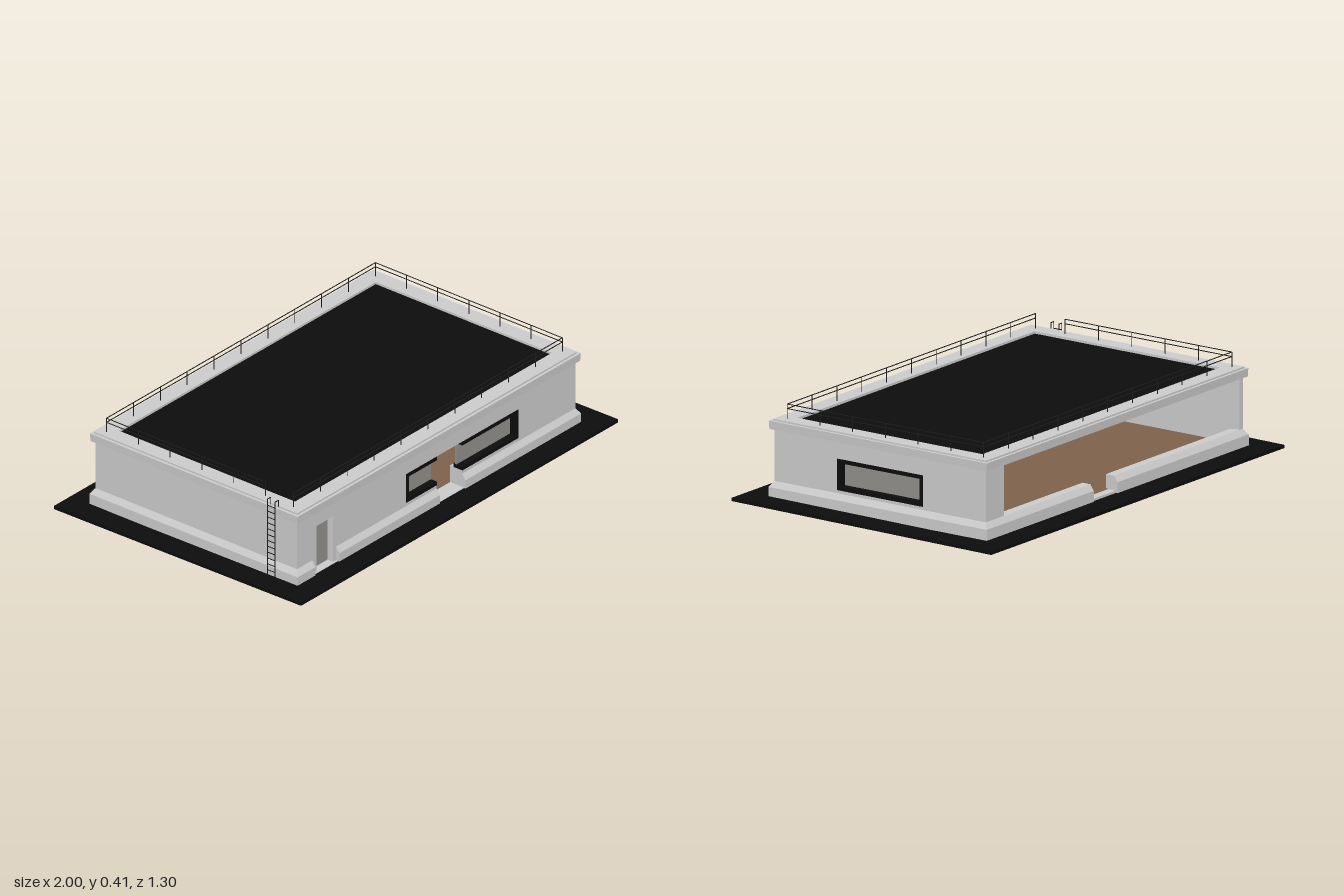
import * as THREE from 'three';

const mat = (name, color) => {
  const m = new THREE.MeshStandardMaterial({ color });
  m.name = name;
  return m;
};

export function createModel() {
  const concrete = mat('pale concrete', 0xcacaca);
  const black = mat('black', 0x0c0c0c);
  const glass = mat('grey glass', 0x908e8a);
  const wood = mat('brown floor', 0x7d604a);
  const metal = mat('dark metal', 0x1c1c1c);

  const model = new THREE.Group();
  const body = new THREE.Group();
  body.name = 'building';
  body.position.x = -0.004;
  model.add(body);

  const HX = 0.877, HZ = 0.53; // half size of the outer walls
  const FLOOR = 0.029, EAVE = 0.31;

  const add = (parent, name, geo, material) => {
    const m = new THREE.Mesh(geo, material);
    m.name = name;
    parent.add(m);
    return m;
  };
  // Box given by its limits
  const box = (parent, name, material, x0, x1, y0, y1, z0, z1) => {
    const m = add(parent, name, new THREE.BoxGeometry(x1 - x0, y1 - y0, z1 - z0), material);
    m.position.set((x0 + x1) / 2, (y0 + y1) / 2, (z0 + z1) / 2);
    return m;
  };
  const poly = (C, pts) => new C(pts.map(p => new THREE.Vector2(...p)));
  const rect = (C, x0, x1, y0, y1) => poly(C, [[x0, y0], [x1, y0], [x1, y1], [x0, y1]]);
  const extrude = (shape, depth) => new THREE.ExtrudeGeometry(shape, { depth, bevelEnabled: false });

  // Thin round bar between two points
  const bar = (parent, name, a, b, r = 0.002) => {
    const p = new THREE.Vector3(...a), q = new THREE.Vector3(...b);
    const d = q.clone().sub(p);
    const m = add(parent, name, new THREE.CylinderGeometry(r, r, d.length(), 6), metal);
    m.position.copy(p).add(q).multiplyScalar(0.5);
    m.quaternion.setFromUnitVectors(new THREE.Vector3(0, 1, 0), d.normalize());
  };

  // Moulding with section (outward, height) along one side, mitred at the corners
  const moulding = (name, section, side, a, b) => {
    const half = side % 2 ? HZ : HX, out = side % 2 ? HX : HZ;
    const geo = extrude(poly(THREE.Shape, section), 1);
    const p = geo.attributes.position;
    const end = (e, d) => e + (Math.abs(e) === half ? Math.sign(e) * d : 0);
    for (let i = 0; i < p.count; i++) {
      const d = p.getX(i), t = p.getZ(i);
      p.setXYZ(i, THREE.MathUtils.lerp(end(b, d), end(a, d), t), p.getY(i), out + d);
    }
    geo.computeVertexNormals();
    add(body, name, geo, concrete).rotation.y = side * Math.PI / 2;
  };

  // Slightly tilted ground slab, open under the building
  const slabShape = rect(THREE.Shape, -1, 1, -0.65, 0.65);
  slabShape.holes.push(rect(THREE.Path, -0.8, 0.8, -0.462, 0.462));
  const slab = add(model, 'groundSlab', extrude(slabShape, 0.014).translate(0, 0, -0.007), black);
  slab.rotation.x = -Math.PI / 2 - 0.0095;
  slab.position.y = 0.0145;

  // Floor base and wooden floor
  box(body, 'floorBase', concrete, -HX, HX, 0.019, FLOOR, -0.54, 0.54);
  box(body, 'woodFloor', wood, -0.853, 0.812, FLOOR, FLOOR + 0.002, -0.5, 0.466);

  // Front wall with two doorways and the window band
  const front = poly(THREE.Shape, [
    [-HX, FLOOR], [-0.756, FLOOR], [-0.756, 0.237], [-0.651, 0.237], [-0.651, FLOOR],
    [0.003, FLOOR], [0.003, 0.105], [-0.189, 0.105], [-0.189, 0.237], [0.517, 0.237],
    [0.517, 0.105], [0.164, 0.105], [0.164, FLOOR], [HX, FLOOR], [HX, EAVE], [-HX, EAVE],
  ]);
  add(body, 'frontWall', extrude(front, 0.065), concrete).position.z = HZ - 0.065;

  // Side walls and rear corner post; the rear is open
  const sideShape = rect(THREE.Shape, -HZ + 0.065, HZ, FLOOR, EAVE);
  sideShape.holes.push(rect(THREE.Path, -0.216, 0.216, 0.105, 0.235));
  const sideWall = add(body, 'leftWall', extrude(sideShape, 0.065), concrete);
  sideWall.rotation.y = Math.PI / 2;
  sideWall.position.x = HX - 0.065;
  box(body, 'rightWall', concrete, -HX, -HX + 0.024, FLOOR, EAVE, -HZ, HZ - 0.065);
  box(body, 'rearPost', concrete, 0.752, HX - 0.001, FLOOR, EAVE, -HZ, -0.46);

  // Plinth, cut at the doorways
  const plinth = inner => [[inner, 0.019], [0.017, 0.019], [0.017, 0.065], [0, 0.09], [inner, 0.09]];
  [[-HX, -0.781], [-0.631, 0.003], [0.164, HX]].forEach(([a, b]) => moulding('frontPlinth', plinth(-0.01), 0, a, b));
  [[-HX, -0.164], [-0.003, HX]].forEach(([a, b]) => moulding('rearPlinth', plinth(-0.04), 2, a, b));
  [1, 3].forEach(s => moulding('sidePlinth', plinth(-0.01), s, -HZ, HZ));

  // Cornice and parapet ring
  const cornice = [[-0.067, 0.308], [0.014, 0.308], [0.016, 0.343], [0.004, 0.343], [0.004, 0.35], [-0.067, 0.35]];
  for (let s = 0; s < 4; s++) {
    const h = s % 2 ? HZ : HX;
    moulding('cornice', cornice, s, -h, h);
  }

  // Ceiling and roof covering
  box(body, 'ceiling', concrete, -0.812, 0.812, 0.309, 0.334, -0.465, 0.465);
  box(body, 'roofCovering', black, -0.812, 0.812, 0.334, 0.34, -0.465, 0.465);

  // Window facing local +z: deep black frame and recessed pane, jambs where wanted
  const makeWindow = (name, x0, x1, y0, y1, jambL, jambR) => {
    const g = new THREE.Group();
    g.name = name;
    const f = 0.017, d = 0.045;
    box(g, 'frameTop', black, x0, x1, y1 - f, y1, -d, 0.001);
    box(g, 'frameBottom', black, x0, x1, y0, y0 + f, -d, 0.001);
    if (jambL) box(g, 'frameJamb', black, x0, x0 + f, y0 + f, y1 - f, -d, 0.001);
    if (jambR) box(g, 'frameJamb', black, x1 - f, x1, y0 + f, y1 - f, -d, 0.001);
    box(g, 'pane', glass, x0 + (jambL ? f : 0), x1 - (jambR ? f : 0), y0 + f, y1 - f, -0.038, -0.03);
    body.add(g);
    return g;
  };
  makeWindow('smallFrontWindow', -0.189, 0.003, 0.105, 0.237, true, false).position.z = HZ;
  makeWindow('largeFrontWindow', 0.164, 0.517, 0.105, 0.237, false, true).position.z = HZ;
  const sideWindow = makeWindow('sideWindow', -0.216, 0.216, 0.103, 0.235, true, true);
  sideWindow.rotation.y = Math.PI / 2;
  sideWindow.position.x = HX;

  // Service door with handle
  box(body, 'serviceDoor', glass, -0.756, -0.651, FLOOR, 0.237, HZ - 0.04, HZ - 0.028);
  box(body, 'doorHandle', concrete, -0.748, -0.732, 0.134, 0.139, HZ - 0.028, HZ - 0.02);

  // Roof railing: two rails and evenly spaced posts on each run
  const railing = new THREE.Group();
  railing.name = 'roofRailing';
  model.add(railing);
  const XL = -0.852, XR = 0.843, ZB = -0.496, ZF = 0.487;
  const runs = [
    [[XL, ZF], [XR, ZF], 10], [[XL, ZB], [XR, ZB], 10],
    [[XR, ZB], [XR, ZF], 6], [[XL, ZB], [XL, 0.34], 5],
  ];
  for (const [a, b, n] of runs) {
    for (const y of [0.393, 0.412]) bar(railing, 'rail', [a[0], y, a[1]], [b[0], y, b[1]]);
    for (let i = 0; i <= n; i++) {
      const x = THREE.MathUtils.lerp(a[0], b[0], i / n), z = THREE.MathUtils.lerp(a[1], b[1], i / n);
      bar(railing, 'railPost', [x, 0.348, z], [x, 0.412, z]);
    }
  }

  // Access ladder on the right wall
  const ladder = new THREE.Group();
  ladder.name = 'ladder';
  model.add(ladder);
  for (const z of [0.394, 0.434]) {
    bar(ladder, 'ladderRail', [-0.904, 0.025, z], [-0.904, 0.376, z]);
    bar(ladder, 'ladderTop', [-0.904, 0.375, z], [-0.884, 0.375, z]);
    bar(ladder, 'ladderHook', [-0.884, 0.376, z], [-0.884, 0.34, z]);
  }
  for (let i = 0; i < 12; i++) {
    const y = 0.05 + i * 0.027;
    bar(ladder, 'rung', [-0.904, y, 0.394], [-0.904, y, 0.434]);
  }
  return model;
}
